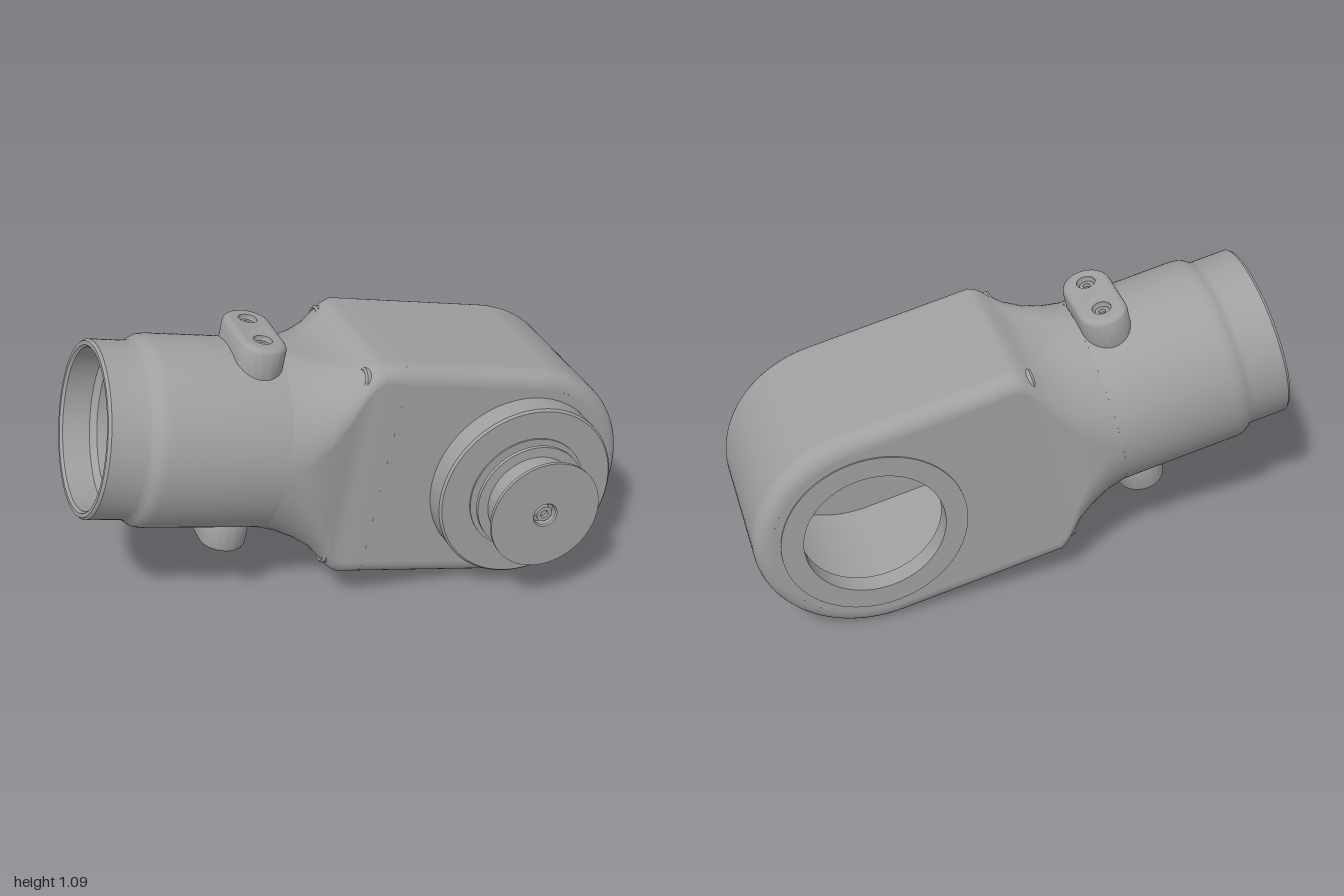
import * as THREE from 'three';
import { toCreasedNormals } from 'three/addons/utils/BufferGeometryUtils.js';

const grey = new THREE.MeshStandardMaterial({ color: 0xa0a0a0, side: THREE.DoubleSide });
grey.name = 'machined grey';

// Main sizes: x is the output axis, z the tube axis
const R = 0.425, HALF = 0.315, ROUND = 0.06, SEAM = 0.54;
const V2 = (p) => new THREE.Vector2(p[0], p[1]);

function add(parent, name, geometry) {
  const m = new THREE.Mesh(geometry, grey);
  m.name = name;
  parent.add(m);
  return m;
}

// Turned part along y from [radius, height] points
function turned(points, sides = 64) {
  return toCreasedNormals(new THREE.LatheGeometry(points.map(V2), sides), 0.6);
}
const alongX = (g) => g.rotateZ(-Math.PI / 2);
const alongZ = (g) => g.rotateX(Math.PI / 2);

// Skin over rows of points; closed rows wrap around
function skin(rows, closed) {
  const n = rows[0].length, index = [];
  for (let i = 0; i < rows.length - 1; i++) {
    for (let j = 0; j < (closed ? n : n - 1); j++) {
      const a = i * n + j, b = i * n + (j + 1) % n;
      index.push(a, b, b + n, a, b + n, a + n);
    }
  }
  const g = new THREE.BufferGeometry();
  g.setAttribute('position', new THREE.Float32BufferAttribute(rows.flat(2), 3));
  g.setIndex(index);
  g.computeVertexNormals();
  return g;
}

// U-shaped outline at side position x, open towards +z
function uRow(x, r, front) {
  const row = [[x, r, front]];
  for (let i = 0; i <= 48; i++) {
    const a = Math.PI / 2 + (Math.PI * i) / 48;
    row.push([x, r * Math.sin(a), r * Math.cos(a)]);
  }
  row.push([x, -r, front]);
  return row;
}

// Flat U-shaped side plate with an optional round hole
function sidePlate(x, r, front, hole) {
  const s = new THREE.Shape();
  s.moveTo(-front, -r);
  s.lineTo(0, -r);
  s.absarc(0, 0, r, -Math.PI / 2, Math.PI / 2, false);
  s.lineTo(-front, r);
  s.closePath();
  if (hole) s.holes.push(new THREE.Path().absarc(0, 0, hole, 0, Math.PI * 2, true));
  const g = new THREE.ShapeGeometry(s, 32).rotateY(Math.PI / 2);
  if (x < 0) { // face outwards on the far side
    const ix = g.index.array;
    for (let i = 0; i < ix.length; i += 3) [ix[i], ix[i + 1]] = [ix[i + 1], ix[i]];
    g.computeVertexNormals();
  }
  return g.translate(x, 0, 0);
}

// Rounded rectangle section at z
function section([z, hu, hv, r]) {
  const row = [];
  [[1, 1], [-1, 1], [-1, -1], [1, -1]].forEach(([sx, sy], q) => {
    for (let i = 0; i <= 12; i++) {
      const a = (q + i / 12) * Math.PI / 2;
      row.push([sx * (hu - r - 1e-4) + r * Math.cos(a), sy * (hv - r - 1e-4) + r * Math.sin(a), z]);
    }
  });
  return row;
}

// Socket screw with its head facing +y
const screw = (r, h) => turned([[r, 0], [r, h], [r * 0.5, h], [r * 0.5, h * 0.4], [0, h * 0.4]], 18);

function buildHousing(g) {
  // Outer shell with rounded side edges
  const rows = [];
  for (const side of [-1, 1]) {
    for (let i = 0; i <= 8; i++) {
      const a = (side < 0 ? i : 8 - i) / 8 * Math.PI / 2;
      rows.push(uRow(side * (HALF - ROUND + ROUND * Math.cos(a)), R - ROUND + ROUND * Math.sin(a), SEAM));
    }
  }
  add(g, 'housing shell', skin(rows, false));
  add(g, 'housing left plate', sidePlate(HALF, R - ROUND, SEAM));
  add(g, 'housing right plate', sidePlate(-HALF, R - ROUND, SEAM, 0.255));

  // Hollow inside
  add(g, 'cavity wall', skin([uRow(0.25, 0.365, 0.66), uRow(-0.25, 0.365, 0.66)], false));
  add(g, 'cavity left wall', sidePlate(0.25, 0.365, 0.66));
  add(g, 'cavity right wall', sidePlate(-0.25, 0.365, 0.66, 0.255));
  const front = new THREE.Shape([[-0.25, -0.365], [0.25, -0.365], [0.25, 0.365], [-0.25, 0.365]].map(V2));
  front.holes.push(new THREE.Path().absarc(0, 0, 0.24, 0, Math.PI * 2, true));
  add(g, 'cavity front wall', new THREE.ShapeGeometry(front, 32).translate(0, 0, 0.66));

  // Open bore with a thin seat ring
  add(g, 'bore ring', alongX(turned([[0.255, -0.25], [0.255, -0.32], [0.335, -0.32], [0.335, -0.31]])));
}

function buildFrontCap(g) {
  // Box section blending into the round tube
  add(g, 'front cap', skin([
    [SEAM, HALF, R, 0.06], [0.62, HALF, R, 0.06], [0.65, 0.313, 0.415, 0.075],
    [0.68, 0.315, 0.39, 0.1], [0.72, 0.325, 0.362, 0.16], [0.78, 0.338, 0.348, 0.24],
    [0.85, 0.343, 0.344, 0.31], [0.92, 0.343, 0.343, 0.343],
  ].map(section), true));

  // Corner screws in their pockets
  for (const sx of [-1, 1]) {
    for (const sy of [-1, 1]) {
      const corner = new THREE.Group();
      corner.name = 'corner screw';
      corner.position.set(sx * 0.25, sy * 0.35, 0.6);
      add(corner, 'pocket', alongZ(turned([[0.032, 0], [0.032, 0.085], [0.038, 0.088], [0.044, 0.08], [0.044, 0]], 24)));
      add(corner, 'screw', alongZ(screw(0.024, 0.075)));
      g.add(corner);
    }
  }
}

function buildTube(g) {
  add(g, 'tube', alongZ(turned([
    [0.255, 0.66], [0.255, 1.3], [0.275, 1.3], [0.275, 1.36], [0.26, 1.36], [0.26, 1.44],
    [0.285, 1.46], [0.285, 1.56], [0.293, 1.57], [0.307, 1.57], [0.315, 1.56], [0.315, 1.43],
    [0.319, 1.415], [0.33, 1.4], [0.339, 1.385], [0.343, 1.36], [0.343, 0.92],
  ].reverse(), 96)));

  // Mounting plate inside with a ring of screws
  add(g, 'mounting plate', alongZ(turned([[0.256, 0.83], [0.256, 0.85], [0.17, 0.85], [0.17, 0.83], [0.256, 0.83]])));
  for (let i = 0; i < 8; i++) {
    const a = (i + 0.7) * Math.PI / 4;
    add(g, 'plate screw', alongZ(screw(0.024, 0.02)))
      .position.set(0.22 * Math.cos(a), 0.22 * Math.sin(a), 0.85);
  }

  // Pads on top and underneath, two screws each
  for (const side of [1, -1]) {
    const pad = new THREE.Group();
    pad.name = side > 0 ? 'top pad' : 'bottom pad';
    const s = new THREE.Shape();
    s.absarc(0.085, 0, 0.063, -Math.PI / 2, Math.PI / 2, false);
    s.absarc(-0.085, 0, 0.063, Math.PI / 2, Math.PI * 1.5, false);
    s.closePath();
    for (const x of [-0.085, 0.085]) {
      s.holes.push(new THREE.Path().absarc(x, 0, 0.055, 0, Math.PI * 2, true));
    }
    const body = new THREE.ExtrudeGeometry(s, {
      depth: 0.1, bevelSize: 0.025, bevelThickness: 0.025, bevelSegments: 5, curveSegments: 20,
    });
    add(pad, 'pad body', toCreasedNormals(body.rotateX(-Math.PI / 2), 0.6)).position.y = 0.285;
    for (const x of [-0.085, 0.085]) {
      add(pad, 'pad collar', turned([[0.058, 0.3], [0.058, 0.41], [0.034, 0.41], [0.034, 0.37], [0, 0.37]], 24)).position.x = x;
      add(pad, 'pad screw', screw(0.026, 0.025)).position.set(x, 0.37, 0);
    }
    pad.position.z = 1.01;
    if (side < 0) pad.rotation.z = Math.PI;
    g.add(pad);
  }
}

function buildOutput(g) {
  const out = new THREE.Group();
  out.name = 'output drive';
  out.position.y = -0.012;
  add(out, 'output flange', alongX(turned([
    [0.342, 0.3], [0.342, 0.397], [0.334, 0.405], [0.225, 0.405], [0.225, 0.411], [0.12, 0.411], [0.12, 0.44],
  ], 96)));
  add(out, 'pulley', alongX(turned([
    [0.1, 0.43], [0.21, 0.43], [0.21, 0.445], [0.172, 0.447], [0.172, 0.548], [0.212, 0.553],
    [0.212, 0.566], [0.047, 0.566], [0.042, 0.56], [0.042, 0.535], [0, 0.535],
  ], 96)));
  add(out, 'pulley screw', alongX(screw(0.03, 0.022))).position.x = 0.535;
  g.add(out);
}

export function createModel() {
  const drive = new THREE.Group();
  drive.name = 'right angle drive';
  buildHousing(drive);
  buildFrontCap(drive);
  buildTube(drive);
  buildOutput(drive);
  // Turned to one side with the tube tilted up
  drive.rotation.set(THREE.MathUtils.degToRad(-13.2), THREE.MathUtils.degToRad(-28), 0, 'YXZ');
  drive.position.set(0.195, 0.428, -0.5);
  const model = new THREE.Group();
  model.name = 'drive unit';
  model.add(drive);
  return model;
}
